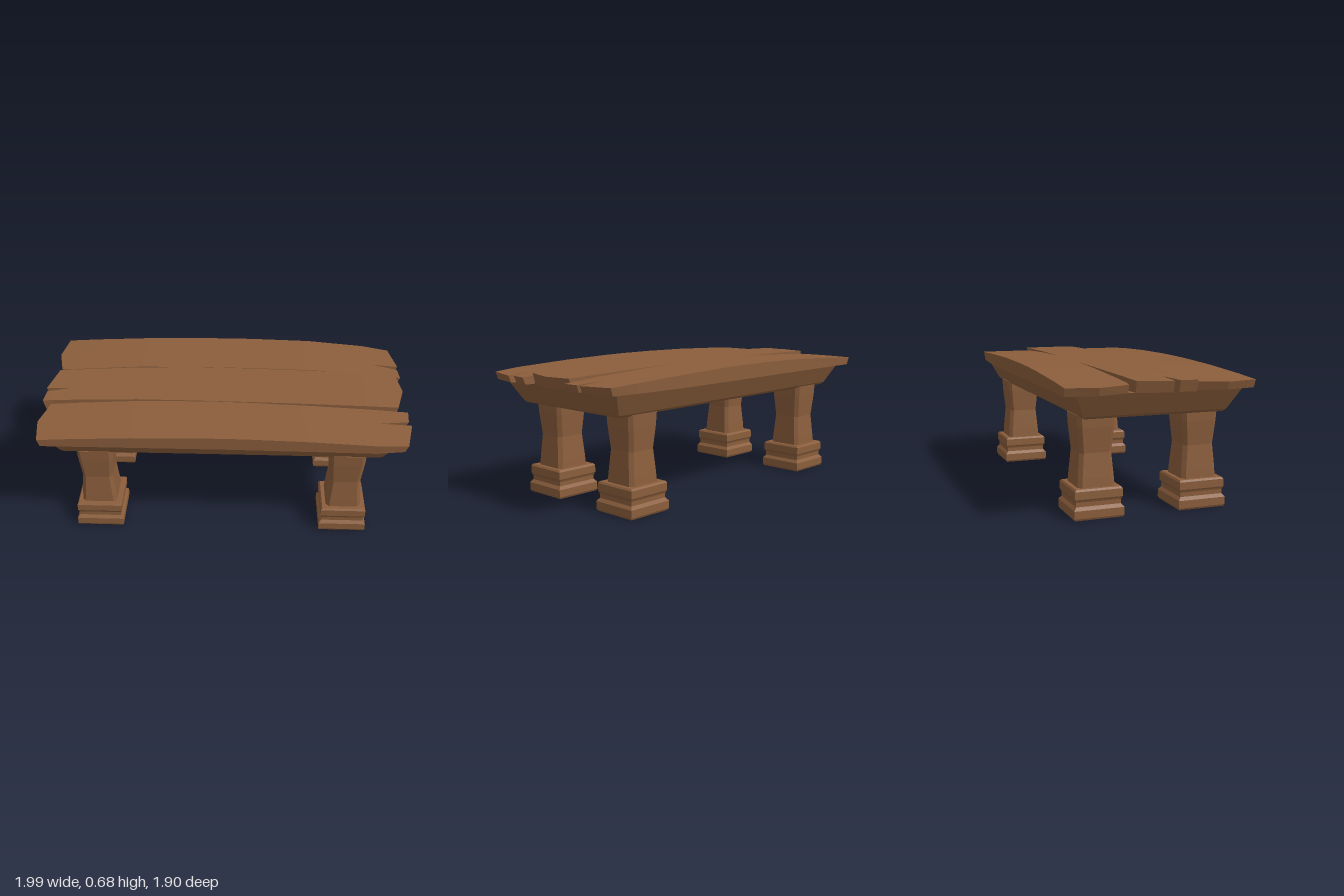
import * as THREE from 'three';

const wood = new THREE.MeshStandardMaterial({ color: 0x8b5e3c, flatShading: true });

// Mesh from a flat list of triangle corners
function meshFrom(name, corners) {
  const geometry = new THREE.BufferGeometry().setFromPoints(corners);
  geometry.computeVertexNormals();
  const mesh = new THREE.Mesh(geometry, wood);
  mesh.name = name;
  return mesh;
}

// Rectangular ring, with cut corners when c is given
function ring([y, hx, hz = hx, c = 0]) {
  const points = [];
  for (const [sx, sz] of [[1, -1], [1, 1], [-1, 1], [-1, -1]]) {
    const a = new THREE.Vector3(sx * (hx - c), y, sz * hz);
    const b = new THREE.Vector3(sx * hx, y, sz * (hz - c));
    if (!c) points.push(a);
    else points.push(...(sx * sz < 0 ? [a, b] : [b, a]));
  }
  return points;
}

// Solid made of rings stacked upwards: [y, half width, half depth, corner cut]
function stack(name, sections) {
  const rings = sections.map(ring), out = [];
  const n = rings[0].length, top = rings[rings.length - 1];
  for (let r = 0; r + 1 < rings.length; r++) {
    for (let i = 0; i < n; i++) {
      const j = (i + 1) % n, lo = rings[r], hi = rings[r + 1];
      out.push(lo[i], hi[i], hi[j], lo[i], hi[j], lo[j]);
    }
  }
  for (let i = 1; i + 1 < n; i++) {
    out.push(rings[0][0], rings[0][i], rings[0][i + 1], top[0], top[i + 1], top[i]);
  }
  return meshFrom(name, out);
}

// Keep the part of an outline where side * (x - limit) >= 0
function clip(points, limit, side) {
  const out = [];
  points.forEach((a, i) => {
    const b = points[(i + 1) % points.length];
    const da = side * (a.x - limit), db = side * (b.x - limit);
    if (da >= 0) out.push(a);
    if (da * db < 0) {
      const p = a.clone().lerp(b, da / (da - db));
      p.x = limit;
      out.push(p);
    }
  });
  return out;
}

// Plank: outline in (x, z), sliced along its length so the top can bow
function plank(name, outline, crown, droop) {
  let points = outline.map(([x, z]) => new THREE.Vector2(x, z));
  if (THREE.ShapeUtils.area(points) < 0) points.reverse();
  const hi = p => new THREE.Vector3(p.x, crown - droop * p.x * p.x, p.y);
  const lo = p => new THREE.Vector3(p.x * 0.985, 0.605, p.y * 0.995);
  const cuts = [-2, -0.75, -0.45, -0.15, 0.15, 0.45, 0.75, 2], out = [];
  for (let k = 0; k + 1 < cuts.length; k++) {
    const part = clip(clip(points, cuts[k], 1), cuts[k + 1], -1);
    for (const [a, b, c] of THREE.ShapeUtils.triangulateShape(part, [])) {
      out.push(hi(part[a]), hi(part[c]), hi(part[b]));
      out.push(lo(part[a]), lo(part[b]), lo(part[c]));
    }
    part.forEach((a, i) => {
      const b = part[(i + 1) % part.length];
      if (a.x === b.x && cuts.includes(a.x)) return; // no wall inside the plank
      out.push(lo(a), hi(a), hi(b), lo(a), hi(b), lo(b));
    });
  }
  return meshFrom(name, out);
}

export function createModel() {
  const table = new THREE.Group();
  table.name = 'table';

  // Three split planks of the table top
  table.add(
    plank('backPlank', [
      [-0.91, -0.477], [-0.937, -0.323], [-0.901, -0.171], [-0.862, -0.164],
      [-0.5, -0.172], [-0.141, -0.168], [0.057, -0.165], [0.5, -0.168], [0.915, -0.156],
      [0.968, -0.153], [0.961, -0.232], [0.822, -0.265], [0.967, -0.263],
      [0.932, -0.43], [0.792, -0.456], [0.489, -0.475], [-0.3, -0.475]
    ], 0.68, 0.042),
    plank('middlePlank', [
      [-0.904, -0.136], [-0.944, 0.035], [-0.805, 0.036], [-0.936, 0.067],
      [-0.943, 0.152], [-0.89, 0.148], [-0.45, 0.143], [0, 0.152], [0.4, 0.156],
      [0.916, 0.156], [0.958, 0.006], [0.935, -0.146], [0.5, -0.158],
      [0.057, -0.165], [-0.141, -0.168], [-0.5, -0.16]
    ], 0.678, 0.02),
    plank('frontPlank', [
      [-0.914, 0.467], [-0.939, 0.312], [-0.898, 0.161], [-0.45, 0.15], [0, 0.153],
      [0.4, 0.163], [0.965, 0.17], [0.957, 0.254], [0.813, 0.284], [0.969, 0.283],
      [0.929, 0.454], [0.789, 0.473], [0.037, 0.465]
    ], 0.675, 0.036)
  );

  // Tapered frame under the planks
  table.add(stack('frame', [
    [0.485, 0.812, 0.352], [0.497, 0.824, 0.362], [0.606, 0.885, 0.415]
  ]));

  // Four waisted legs on stepped feet
  for (const x of [-0.657, 0.657]) {
    for (const z of [-0.267, 0.267]) {
      const leg = new THREE.Group();
      leg.name = 'leg';
      leg.add(stack('column', [
        [0.14, 0.093, 0.093, 0.018], [0.19, 0.09, 0.09, 0.018],
        [0.31, 0.08, 0.08, 0.018], [0.43, 0.091, 0.091, 0.018], [0.49, 0.094, 0.094, 0.018]
      ]));
      leg.add(stack('foot', [
        [0, 0.12], [0.01, 0.125], [0.048, 0.125], [0.058, 0.117], [0.064, 0.112],
        [0.085, 0.112], [0.093, 0.115], [0.1, 0.119], [0.138, 0.119], [0.147, 0.112]
      ]));
      leg.position.set(x, 0, z);
      table.add(leg);
    }
  }

  // The table stands turned on the spot
  table.rotation.y = THREE.MathUtils.degToRad(-40);
  const model = new THREE.Group();
  model.add(table);
  return model;
}
